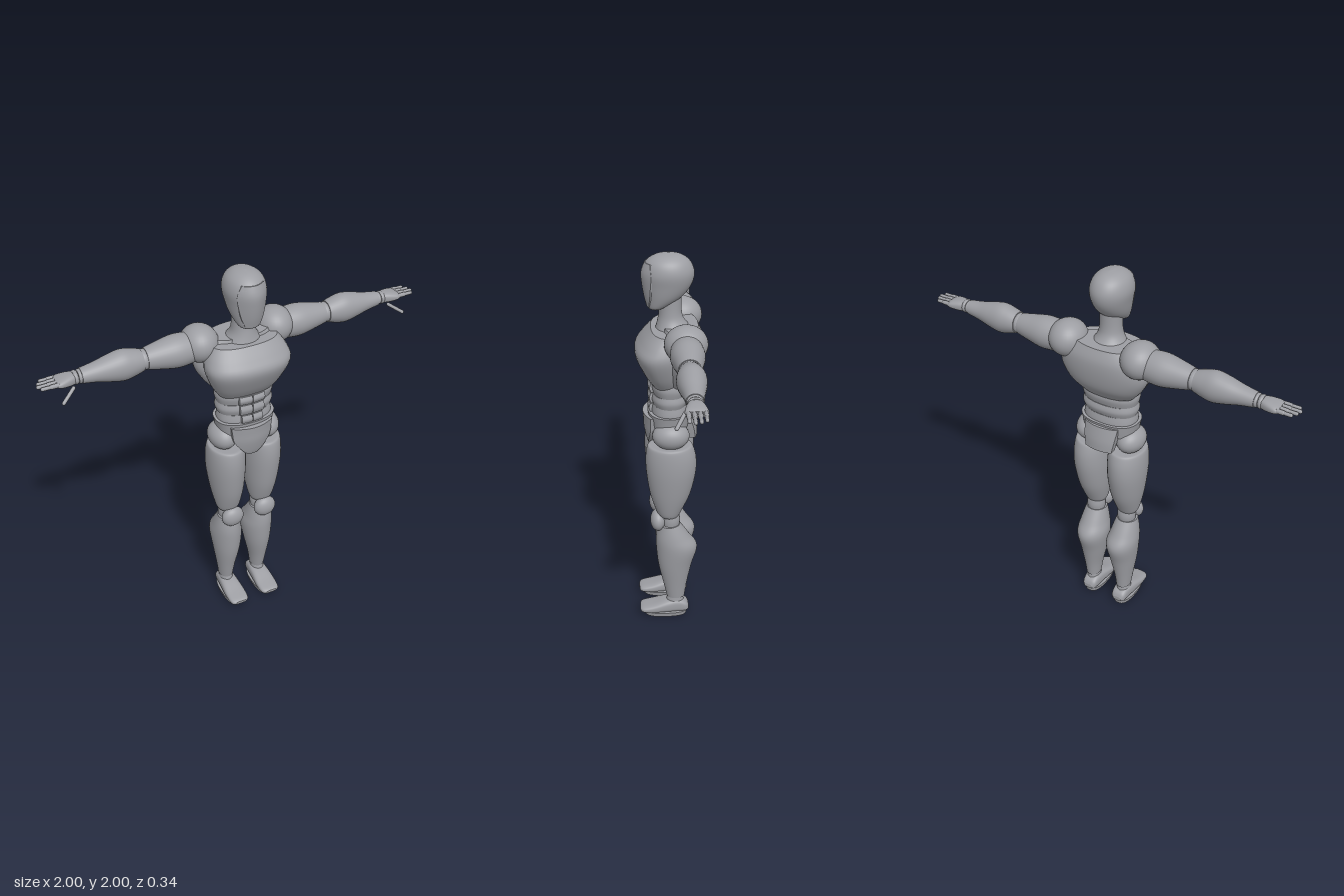
import * as THREE from 'three';

const grey = new THREE.MeshStandardMaterial({ color: 0x9d9ea3 });
grey.name = 'bodyGrey';

function add(parent, name, geometry, x = 0, y = 0, z = 0) {
  const mesh = new THREE.Mesh(geometry, grey);
  mesh.name = name;
  mesh.position.set(x, y, z);
  parent.add(mesh);
  return mesh;
}

// Closed body through cross-sections [y, xMin, xMax, zMin, zMax], smoothed by splines.
function loft(sections, power = 2, steps = 5, cols = 40) {
  const rows = (sections.length - 1) * steps;
  const curves = [1, 2, 3, 4].map(k => new THREE.SplineCurve(sections.map(s => new THREE.Vector2(s[0], s[k]))));
  const pos = [], index = [];
  const ring = j => {
    const p = curves.map(c => c.getPoint(j / rows));
    for (let i = 0; i < cols; i++) {
      const a = i / cols * Math.PI * 2, s = Math.sin(a), c = Math.cos(a);
      const u = Math.sign(s) * Math.abs(s) ** (2 / power), v = Math.sign(c) * Math.abs(c) ** (2 / power);
      pos.push((p[0].y + p[1].y + (p[1].y - p[0].y) * u) / 2, p[0].x, (p[2].y + p[3].y + (p[3].y - p[2].y) * v) / 2);
    }
    return p;
  };
  for (let j = 0; j <= rows; j++) ring(j);
  for (let j = 0; j < rows; j++) for (let i = 0; i < cols; i++) {
    const a = j * cols + i, b = j * cols + (i + 1) % cols;
    index.push(a, b, b + cols, a, b + cols, a + cols);
  }
  for (const j of [0, rows]) {
    const start = pos.length / 3, p = ring(j), mid = start + cols;
    pos.push((p[0].y + p[1].y) / 2, p[0].x, (p[2].y + p[3].y) / 2);
    for (let i = 0; i < cols; i++) {
      const a = start + i, b = start + (i + 1) % cols;
      if (j) index.push(a, b, mid); else index.push(b, a, mid);
    }
  }
  const g = new THREE.BufferGeometry();
  g.setAttribute('position', new THREE.Float32BufferAttribute(pos, 3));
  g.setIndex(index);
  g.computeVertexNormals();
  return g;
}

// Curved plate: rows are [y, xCentre, halfWidth, z]; bend pulls the sides back.
function plate(rows, thickness, bend) {
  const g = new THREE.BoxGeometry(1, 1, 1, 14, 14, 1), p = g.attributes.position;
  const curve = [1, 2, 3].map(k => new THREE.SplineCurve(rows.map(r => new THREE.Vector2(r[0], r[k]))));
  for (let i = 0; i < p.count; i++) {
    const t = p.getY(i) + 0.5, [c, w, z] = curve.map(k => k.getPoint(t));
    const x = c.y + p.getX(i) * 2 * w.y;
    p.setXYZ(i, x, c.x, z.y - bend * x * x + (p.getZ(i) - 0.5) * thickness);
  }
  g.computeVertexNormals();
  return g;
}

const sym = (y, w, zb, zf) => [y, -w, w, zb, zf];
const round = (y, r, rz = r) => [y, -r, r, -rz, rz];
const ball = (rx, ry, rz) => new THREE.SphereGeometry(1, 32, 20).scale(rx, ry, rz);

function buildHead(body) {
  const head = new THREE.Group();
  head.name = 'head';
  body.add(head);
  add(head, 'skull', loft([
    sym(1.73, 0.03, 0.05, 0.09), sym(1.742, 0.055, 0.015, 0.105), sym(1.79, 0.078, -0.06, 0.115),
    sym(1.85, 0.092, -0.107, 0.125), sym(1.91, 0.1, -0.12, 0.13), sym(1.96, 0.085, -0.1, 0.112),
    sym(1.99, 0.05, -0.06, 0.07), sym(2.0, 0.008, -0.012, 0.02)]));
  add(head, 'faceMask', plate([[1.745, 0, 0.037, 0.108], [1.79, 0, 0.056, 0.12], [1.85, 0, 0.07, 0.13],
    [1.91, 0, 0.076, 0.134], [1.96, 0, 0.055, 0.116]], 0.03, 8));
  add(head, 'neck', loft([sym(1.62, 0.1, -0.12, 0.07), sym(1.67, 0.066, -0.075, 0.057),
    sym(1.72, 0.056, -0.06, 0.05), sym(1.81, 0.056, -0.06, 0.05)]));
}

function buildTorso(body) {
  const torso = new THREE.Group();
  torso.name = 'torso';
  body.add(torso);
  add(torso, 'breastplate', loft([sym(1.352, 0.14, -0.05, 0.085), sym(1.42, 0.182, -0.07, 0.13),
    sym(1.52, 0.218, -0.08, 0.17), sym(1.58, 0.205, -0.08, 0.14), sym(1.635, 0.17, -0.08, 0.09)], 2.4));
  add(torso, 'upperBack', loft([sym(1.365, 0.145, -0.1, 0.03), sym(1.43, 0.198, -0.145, 0.035),
    sym(1.51, 0.236, -0.163, 0.04), sym(1.59, 0.225, -0.163, 0.04), sym(1.65, 0.16, -0.14, 0.03)], 2.2));
  // Stacked waist bands
  for (const [y0, y1, w] of [[1.16, 1.25, 0.143], [1.25, 1.31, 0.15], [1.31, 1.385, 0.153]]) {
    const m = (y0 + y1) / 2;
    add(torso, 'waistBand', loft([sym(y0, w - 0.008, -0.088, 0.085), sym(m, w, -0.097, 0.094),
      sym(y1, w - 0.006, -0.09, 0.088)], 2.3));
  }
  // Stomach plates, two per row
  for (const [y0, y1, w] of [[1.2, 1.25, 0.028], [1.255, 1.31, 0.032], [1.315, 1.36, 0.034]])
    for (const s of [-1, 1])
      add(torso, 'stomachPlate', plate([[y0, s * (w + 0.001), w - 0.002, 0.099], [(y0 + y1) / 2, s * (w + 0.001), w, 0.108],
        [y1, s * (w + 0.001), w - 0.002, 0.1]], 0.03, 1.6));
}

function buildPelvis(body) {
  const pelvis = new THREE.Group();
  pelvis.name = 'pelvis';
  body.add(pelvis);
  add(pelvis, 'pelvisCore', loft([sym(1.03, 0.045, -0.06, 0.07), sym(1.08, 0.085, -0.08, 0.085),
    sym(1.14, 0.13, -0.09, 0.095), sym(1.19, 0.14, -0.09, 0.095)]));
  add(pelvis, 'belt', loft([sym(1.135, 0.145, -0.1, 0.1), sym(1.17, 0.15, -0.106, 0.106),
    sym(1.207, 0.157, -0.11, 0.11)], 2.4));
  add(pelvis, 'frontGuard', plate([[1.012, 0, 0.022, 0.105], [1.04, 0, 0.052, 0.115], [1.1, 0, 0.097, 0.128],
    [1.15, 0, 0.107, 0.131], [1.19, 0, 0.112, 0.134]], 0.03, 3));
  const rear = plate([[1.065, 0, 0.075, 0.142], [1.12, 0, 0.085, 0.138], [1.195, 0, 0.095, 0.122]], 0.035, 2.5);
  add(pelvis, 'rearGuard', rear.rotateY(Math.PI));
}

function buildArm(body, side) {
  const arm = new THREE.Group();
  arm.name = side > 0 ? 'leftArm' : 'rightArm';
  arm.position.set(0, 1.61, -0.07);
  arm.scale.x = side;
  body.add(arm);
  const limb = (name, sections, power) => add(arm, name, loft(sections, power, 5, 32).rotateZ(-Math.PI / 2));
  add(arm, 'shoulder', ball(0.095, 0.092, 0.104), 0.2, 0.012, 0);
  limb('upperArm', [round(0.2, 0.065), round(0.26, 0.077), round(0.33, 0.081), round(0.41, 0.067), round(0.475, 0.053)]);
  limb('elbow', [round(0.465, 0.046), round(0.485, 0.051), round(0.51, 0.046)]);
  limb('forearm', [round(0.495, 0.054), round(0.54, 0.068, 0.063), round(0.59, 0.077, 0.068), round(0.65, 0.066, 0.062),
    round(0.72, 0.048, 0.049), round(0.79, 0.036, 0.04)]);
  for (const x of [0.785, 0.807]) limb('wristRing', [round(x, 0.03, 0.033), round(x + 0.01, 0.034, 0.037), round(x + 0.02, 0.03, 0.033)]);
  limb('palm', [round(0.815, 0.026, 0.03), round(0.85, 0.027, 0.042), round(0.89, 0.021, 0.05), round(0.91, 0.013, 0.046)], 2.6);
  // Fingers in two segments
  [-0.037, -0.013, 0.011, 0.035].forEach((z, i) => {
    const len = [0.07, 0.085, 0.092, 0.08][i];
    for (const [x, l, r] of [[0.9, len * 0.55, 0.011], [0.9 + len * 0.5, len * 0.55, 0.009]])
      add(arm, 'finger', new THREE.CapsuleGeometry(r, l - r, 4, 10).rotateZ(-Math.PI / 2), x + l / 2, 0.003, z);
  });
  const thumb = add(arm, 'thumb', new THREE.CapsuleGeometry(0.009, 0.085, 4, 10), 0.872, -0.046, 0.063);
  thumb.quaternion.setFromUnitVectors(new THREE.Vector3(0, 1, 0), new THREE.Vector3(0.075, -0.048, 0.045).normalize());
}

function buildLeg(body, side) {
  const leg = new THREE.Group();
  leg.name = side > 0 ? 'leftLeg' : 'rightLeg';
  leg.scale.x = side;
  body.add(leg);
  add(leg, 'hip', ball(0.072, 0.07, 0.093), 0.118, 1.1, -0.003);
  add(leg, 'thigh', loft([[0.63, 0.045, 0.15, -0.045, 0.055], [0.66, 0.032, 0.162, -0.06, 0.072], [0.76, 0.014, 0.183, -0.103, 0.102],
    [0.88, 0.004, 0.198, -0.13, 0.12], [0.97, 0.003, 0.2, -0.132, 0.124], [1.035, 0.006, 0.193, -0.115, 0.115], [1.045, 0.02, 0.18, -0.1, 0.1]]));
  add(leg, 'kneeJoint', loft([[0.55, 0.05, 0.14, -0.045, 0.04], [0.6, 0.045, 0.145, -0.052, 0.045], [0.645, 0.05, 0.14, -0.045, 0.04]]));
  add(leg, 'kneeCap', ball(0.061, 0.058, 0.04), 0.095, 0.597, 0.063);
  add(leg, 'shin', loft([[0.115, 0.059, 0.136, -0.078, 0.018], [0.2, 0.048, 0.147, -0.09, 0.036], [0.32, 0.023, 0.164, -0.115, 0.062],
    [0.43, 0.009, 0.175, -0.143, 0.073], [0.5, 0.022, 0.168, -0.102, 0.073], [0.575, 0.04, 0.152, -0.052, 0.062]]));
  add(leg, 'ankle', loft([[0.06, 0.055, 0.14, -0.08, 0.03], [0.095, 0.062, 0.133, -0.072, 0.018], [0.13, 0.065, 0.13, -0.068, 0.01]]));
  // Foot sections run from heel to toe
  const foot = [[-0.1, 0.07, 0.12, 0.03, 0.055], [-0.085, 0.056, 0.134, 0.02, 0.08], [-0.04, 0.05, 0.14, 0.018, 0.1],
    [0.02, 0.045, 0.146, 0.018, 0.092], [0.09, 0.04, 0.15, 0.02, 0.07], [0.145, 0.045, 0.145, 0.024, 0.056], [0.162, 0.065, 0.125, 0.032, 0.048]]
    .map(([z, x0, x1, y0, y1]) => [z, x0, x1, -y1, -y0]);
  add(leg, 'foot', loft(foot, 3).rotateX(Math.PI / 2));
  add(leg, 'sole', loft([[0, 0.045, 0.145, -0.088, 0.135], [0.025, 0.04, 0.15, -0.093, 0.14]], 2.6));
}

export function createModel() {
  const body = new THREE.Group();
  body.name = 'jointedFigure';
  buildHead(body);
  buildTorso(body);
  buildPelvis(body);
  for (const side of [1, -1]) {
    buildArm(body, side);
    buildLeg(body, side);
  }
  return body;
}
